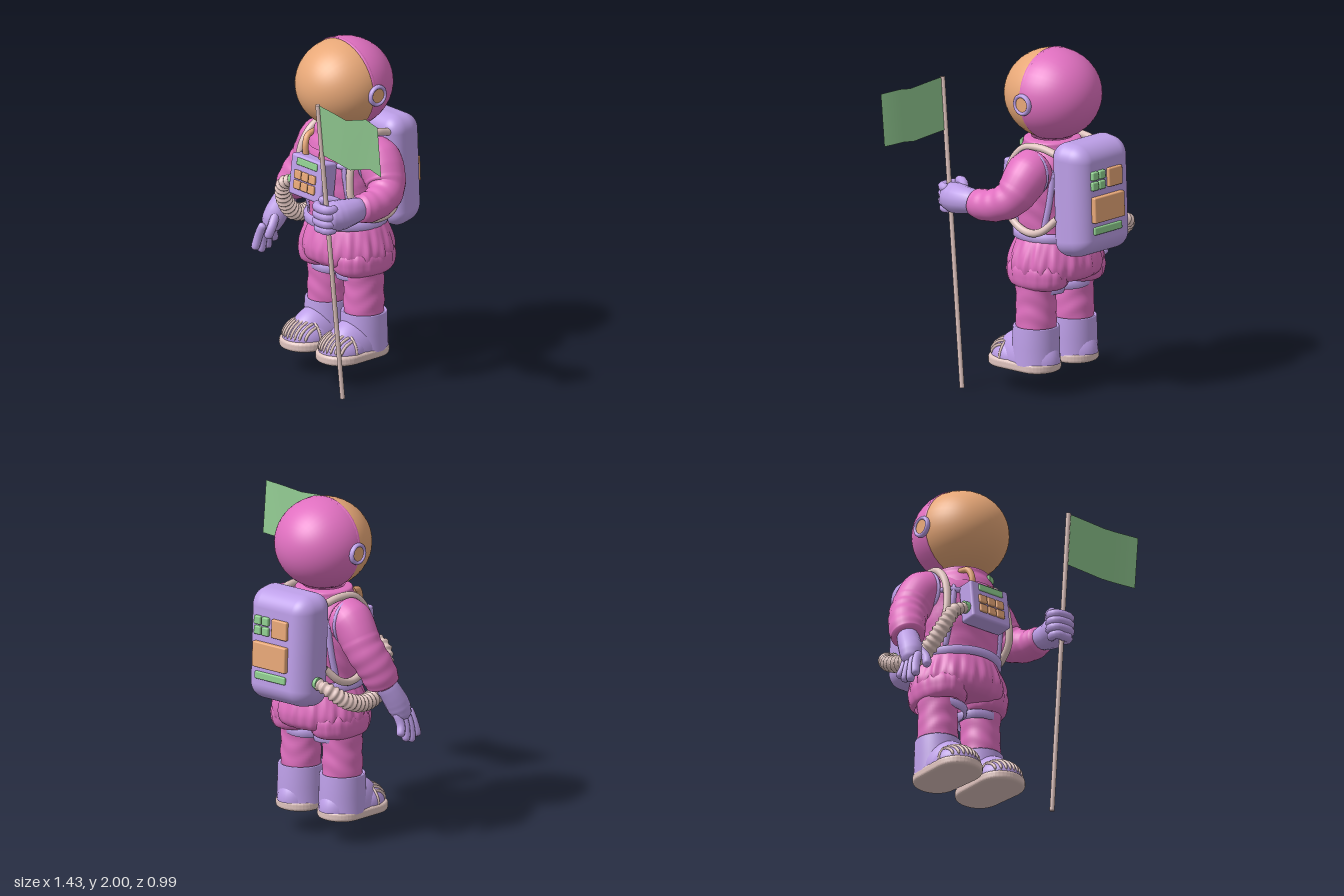
import * as THREE from 'three';
import { mergeVertices } from 'three/addons/utils/BufferGeometryUtils.js';
import { RoundedBoxGeometry } from 'three/addons/geometries/RoundedBoxGeometry.js';

const mat = (color) => new THREE.MeshStandardMaterial({ color, side: THREE.DoubleSide });
const PINK = mat(0xe070c0), PURPLE = mat(0xbd9fe8), ORANGE = mat(0xe8a878);
const CREAM = mat(0xdfc3be), GREEN = mat(0x90d090), FLAG = mat(0x90c890);
const V = (p) => new THREE.Vector3(...p);

function add(parent, name, geo, material, pos = [0, 0, 0], rot = [0, 0, 0]) {
  const m = new THREE.Mesh(geo, material);
  m.name = name;
  m.position.set(...pos);
  m.rotation.set(...rot);
  parent.add(m);
  return m;
}

// Weld seams and recompute smooth normals
function smooth(geo) {
  geo.deleteAttribute('uv');
  geo.deleteAttribute('normal');
  const g = mergeVertices(geo, 1e-5);
  g.computeVertexNormals();
  return g;
}

// Tube along points whose radius is a function of t (0..1)
function sweep(points, radius, seg = 32, sides = 14) {
  const curve = new THREE.CatmullRomCurve3(points.map(V));
  const g = new THREE.TubeGeometry(curve, seg, 1, sides);
  const p = g.attributes.position, n = g.attributes.normal;
  for (let i = 0; i < p.count; i++) {
    const t = Math.floor(i / (sides + 1)) / seg, c = curve.getPointAt(t);
    const r = Math.max(radius(t), 1e-3);
    p.setXYZ(i, c.x + n.getX(i) * r, c.y + n.getY(i) * r, c.z + n.getZ(i) * r);
  }
  return smooth(g);
}
const capsule = (r) => (t) => r * Math.sqrt(Math.max(0, 1 - Math.pow(Math.abs(2 * t - 1), 8)));
const lerpList = (list) => (t) => {
  const f = t * (list.length - 1), i = Math.min(Math.floor(f), list.length - 2);
  return THREE.MathUtils.lerp(list[i], list[i + 1], f - i);
};

// Lathe with depth scale and optional ripple(angle, y) factor
function lathe(profile, depth = 1, ripple = () => 1, sides = 48, curved = true) {
  let pts = profile.map((q) => new THREE.Vector2(...q));
  if (curved) pts = new THREE.SplineCurve(pts).getPoints(profile.length * 5);
  const g = new THREE.LatheGeometry(pts, sides), p = g.attributes.position;
  for (let i = 0; i < p.count; i++) {
    const x = p.getX(i), y = p.getY(i), z = p.getZ(i), k = ripple(Math.atan2(x, z), y);
    p.setXYZ(i, x * k, y, z * k * depth);
  }
  return smooth(g);
}
const dome = (x, y, z) => new THREE.SphereGeometry(1, 40, 16, 0, Math.PI * 2, 0, Math.PI / 2).scale(x, y, z);

function buildHead(body) {
  const head = new THREE.Group();
  head.name = 'head';
  head.position.set(0, 1.735, -0.035);
  head.rotation.x = 0.06;
  body.add(head);
  add(head, 'visor', dome(0.272, 0.287, 0.263).rotateX(Math.PI / 2), ORANGE);
  add(head, 'helmetShell', dome(0.275, 0.289, 0.266).rotateX(-Math.PI / 2), PINK);
  add(head, 'visorRim', new THREE.TorusGeometry(1, 0.022, 8, 64).scale(0.27, 0.262, 0.5), PINK);
  for (const s of [-1, 1]) {
    const tilt = [0, 0, Math.PI / 2], pos = (x) => [s * x, -0.015, -0.015];
    add(head, 'earRing', new THREE.TorusGeometry(0.052, 0.012, 10, 32).scale(1, 1, 1.4), PURPLE, pos(0.275), [0, Math.PI / 2, 0]);
    add(head, 'earBase', new THREE.CylinderGeometry(0.058, 0.058, 0.05, 32), PURPLE, pos(0.252), tilt);
    add(head, 'earDisc', new THREE.CylinderGeometry(0.043, 0.043, 0.03, 32), ORANGE, pos(0.268), tilt);
  }
}

// Torso half-width at a height, shared by the suit and its harness
const TORSO = [[0.225, 0.9], [0.228, 1.0], [0.242, 1.12], [0.25, 1.25], [0.245, 1.34], [0.2, 1.41], [0.14, 1.46]];
function torsoPoint(x, y, front) {
  let i = 0;
  while (i < TORSO.length - 2 && TORSO[i + 1][1] < y) i++;
  const [a, b] = [TORSO[i], TORSO[i + 1]];
  const r = THREE.MathUtils.mapLinear(y, a[1], b[1], a[0], b[0]);
  const z = 0.8 * Math.sqrt(Math.max(0, r * r - x * x)) + 0.006;
  return [x, y, -0.04 + (front ? z : -z)];
}

function buildTorso(body) {
  const folds = (a, y) => 1 + 0.01 * Math.sin(y * 60 + 3 * Math.sin(a * 3)) * (y < 1.3 ? 1 : 0);
  add(body, 'torso', lathe(TORSO, 0.8, folds), PINK, [0, 0, -0.04]);
  add(body, 'collar', lathe([[0.2, 1.37], [0.188, 1.41], [0.17, 1.445], [0.163, 1.475], [0.12, 1.485]], 0.98), PINK, [0, 0, -0.03]);
  add(body, 'collarLight', new RoundedBoxGeometry(0.075, 0.035, 0.02, 2, 0.006), GREEN, [0.095, 1.44, 0.115], [0, 0.55, 0.1]);
  add(body, 'belt', lathe([[0.225, 0.905], [0.246, 0.91], [0.247, 0.95], [0.225, 0.96]], 0.96, undefined, 48, false), PURPLE, [0, 0, -0.05]);

  // Harness straps lying on the torso
  const strap = (from, to, front) => {
    const pts = Array.from({ length: 9 }, (_, i) =>
      torsoPoint(THREE.MathUtils.lerp(from[0], to[0], i / 8), THREE.MathUtils.lerp(from[1], to[1], i / 8), front));
    add(body, 'harnessStrap', sweep(pts, capsule(0.018), 24, 8), PURPLE);
  };
  for (const s of [-1, 1]) {
    for (const front of [true, false]) {
      strap([s * 0.17, 1.34], [s * 0.195, 0.94], front);
      strap([s * 0.13, 1.3], [s * 0.225, 1.3], front);
    }
    add(body, 'shoulderBand', new THREE.TorusGeometry(0.128, 0.011, 8, 40), PURPLE, [s * 0.235, 1.315, -0.078], [0, Math.PI / 2, s * 0.55]);
  }
  strap([-0.19, 1.02], [0.19, 1.02], false);

  // Pleated trousers with gathered thighs
  const pleats = (a, y) => {
    const e = Math.max(0, Math.sin(Math.PI * (y - 0.62) / 0.32));
    return 1 + e * (0.022 * Math.sin(a * 16 + y * 9) + 0.014 * Math.sin(a * 29 - y * 12));
  };
  const hips = [[0.001, 0.68], [0.2, 0.67], [0.27, 0.695], [0.292, 0.75], [0.285, 0.81], [0.255, 0.89], [0.222, 0.95]];
  add(body, 'trousers', lathe(hips, 0.86, pleats, 144), PINK, [0, 0, -0.06]);
  for (const s of [-1, 1])
    add(body, 'trouserThigh', lathe([[0.11, 0.63], [0.132, 0.65], [0.142, 0.69], [0.14, 0.75], [0.1, 0.82]], 1.42, pleats, 80), PINK, [s * 0.149, 0, -0.058]);
}

function buildLeg(body, s) {
  const leg = new THREE.Group();
  leg.name = 'leg';
  leg.position.set(s * 0.158, 0, -0.05);
  body.add(leg);
  const folds = (a, y) => 1 + 0.018 * Math.sin(y * 60 + 2.5 * Math.sin(a * 2 + s));
  add(leg, 'trouserLeg', lathe([[0.11, 0.34], [0.115, 0.45], [0.112, 0.55], [0.118, 0.66]], 1.04, folds), PINK);
  add(leg, 'kneeBand', lathe([[0.11, 0.59], [0.126, 0.595], [0.129, 0.635], [0.11, 0.645]], 1.04, undefined, 40, false), PURPLE, [0, 0, 0], [0, 0, s * 0.08]);
  add(leg, 'bootShaft', lathe([[0.138, 0.18], [0.135, 0.28], [0.132, 0.395], [0.126, 0.402], [0.11, 0.395]], 1.02, undefined, 40, false), PURPLE);
  add(leg, 'bootFoot', dome(0.13, 0.18, 0.215), PURPLE, [0, 0.19, 0.055]);
  add(leg, 'toeCap', dome(0.132, 0.113, 0.155), PURPLE, [0, 0.195, 0.15]);
  // Ribs running over the toe
  for (let i = -4; i <= 4; i++) {
    const x = i * 0.025, k = Math.sqrt(1 - (x / 0.136) ** 2), pts = [];
    for (let j = 0; j <= 6; j++) {
      const a = 0.1 + j * 0.22;
      pts.push([x, 0.195 + Math.sin(a) * 0.113 * k, 0.15 + Math.cos(a) * 0.156 * k]);
    }
    add(leg, 'toeRib', sweep(pts, capsule(0.009), 14, 7), CREAM);
  }
  const arch = Array.from({ length: 11 }, (_, j) => {
    const a = j * Math.PI / 10;
    return [Math.cos(a) * 0.131, 0.195 + Math.sin(a) * 0.116, 0.165];
  });
  add(leg, 'toeBand', sweep(arch, () => 0.008, 30, 8), CREAM);

  // Rounded sole
  const sole = new THREE.Shape();
  sole.moveTo(0.124, -0.17);
  sole.bezierCurveTo(0.124, -0.343, -0.124, -0.343, -0.124, -0.17);
  sole.lineTo(-0.116, 0.02);
  sole.bezierCurveTo(-0.11, 0.16, 0.11, 0.16, 0.116, 0.02);
  sole.closePath();
  const g = new THREE.ExtrudeGeometry(sole, { depth: 0.02, bevelSize: 0.019, bevelThickness: 0.019, bevelSegments: 5, curveSegments: 20 });
  add(leg, 'sole', g.rotateX(-Math.PI / 2), CREAM, [0, 0.158, 0]);
}

function buildArms(body) {
  const sleeve = (pts, radii) => {
    const r = lerpList(radii), fold = (t) => (t > 0.4 && t < 0.96 ? 0.002 * Math.sin(t * 48) : 0);
    add(body, 'sleeve', sweep(pts, (t) => r(t) + fold(t), 60, 28), PINK);
  };
  const finger = (name, pts, r) => add(body, name, sweep(pts, capsule(r), 20, 10), PURPLE);

  // Hanging right arm and open glove
  sleeve([[-0.14, 1.36, -0.07], [-0.25, 1.315, -0.08], [-0.35, 1.17, -0.075], [-0.405, 1.05, -0.03], [-0.427, 0.92, 0.02]],
    [0.05, 0.12, 0.13, 0.122, 0.115, 0.112, 0.109, 0.107, 0.105, 0.1, 0.001]);
  add(body, 'glovePalm', sweep([[-0.425, 0.98, 0.0], [-0.45, 0.9, 0.045], [-0.468, 0.82, 0.085], [-0.495, 0.72, 0.11]], lerpList([0.06, 0.066, 0.068, 0.07, 0.068, 0.055, 0.001])), PURPLE);
  for (let i = 0; i < 4; i++) {
    const z = 0.05 + i * 0.037, tip = [0.66, 0.62, 0.605, 0.63][i];
    finger('gloveFinger', [[-0.475, 0.8, z], [-0.505, 0.72, z + 0.01], [-0.522, tip, z + 0.014 * (i - 1)]], 0.026);
  }
  finger('gloveThumb', [[-0.44, 0.87, 0.09], [-0.415, 0.79, 0.15], [-0.428, 0.72, 0.175]], 0.027);

  // Raised left arm and fist around the pole
  sleeve([[0.14, 1.36, -0.07], [0.25, 1.315, -0.08], [0.36, 1.18, -0.04], [0.402, 1.128, 0.08], [0.402, 1.13, 0.245]],
    [0.05, 0.12, 0.133, 0.128, 0.118, 0.108, 0.1, 0.094, 0.09, 0.085, 0.001]);
  add(body, 'glovePalm', sweep([[0.4, 1.13, 0.18], [0.405, 1.125, 0.28], [0.39, 1.12, 0.36], [0.37, 1.12, 0.46]], lerpList([0.06, 0.074, 0.08, 0.088, 0.09, 0.08, 0.001])), PURPLE);
  for (let i = 0; i < 4; i++) {
    const y = 1.05 + i * 0.042, d = i === 0 ? 0.012 : 0;
    finger('gloveFinger', [[0.43 - d, y, 0.38], [0.415 - d, y, 0.44], [0.365, y, 0.452 - d], [0.315 + d, y, 0.44], [0.3 + d, y, 0.4], [0.34, y, 0.37]], 0.027);
  }
  finger('gloveThumb', [[0.375, 1.175, 0.31], [0.33, 1.2, 0.36], [0.31, 1.2, 0.42]], 0.028);
}

function buildGear(body) {
  // Backpack, narrower towards the rear and shorter at its rear face
  const geo = new RoundedBoxGeometry(0.49, 0.69, 0.25, 8, 0.1), p = geo.attributes.position;
  for (let i = 0; i < p.count; i++) {
    const k = 1 - 0.14 * (0.125 - p.getZ(i)) / 0.25;
    p.setXYZ(i, p.getX(i) * k, p.getY(i) * (0.4 + 0.6 * k), p.getZ(i));
  }
  add(body, 'backpack', smooth(geo), PURPLE, [0, 1.185, -0.34], [0.04, 0, 0]);
  const panel = (name, m, x, y, w, h, d = 0.03) => add(body, name, new RoundedBoxGeometry(w, h, d, 2, 0.008), m, [x, y, -0.465], [0.04, 0, 0]);
  for (const x of [0.058, 0.116]) for (const y of [1.285, 1.345]) panel('packKey', GREEN, x, y, 0.05, 0.05);
  panel('packSquare', ORANGE, -0.05, 1.315, 0.115, 0.11);
  panel('packScreen', ORANGE, 0.015, 1.145, 0.25, 0.15, 0.06);
  panel('packBar', GREEN, 0.015, 1.02, 0.23, 0.045, 0.04);

  // Chest control box
  const box = new THREE.Group();
  box.name = 'chestBox';
  box.position.set(-0.01, 1.205, 0.19);
  box.rotation.x = -0.12;
  body.add(box);
  add(box, 'chestCase', new RoundedBoxGeometry(0.28, 0.24, 0.11, 4, 0.015), PURPLE);
  add(box, 'chestScreen', new RoundedBoxGeometry(0.175, 0.042, 0.02, 2, 0.006), GREEN, [0.005, 0.085, 0.053]);
  for (let i = -1; i <= 1; i++) for (const y of [0.008, -0.052])
    add(box, 'chestButton', new RoundedBoxGeometry(0.055, 0.05, 0.024, 2, 0.006), ORANGE, [i * 0.062, y, 0.056]);
  for (const x of [0.04, 0.065]) add(box, 'chestPin', new THREE.CylinderGeometry(0.006, 0.006, 0.05, 8), ORANGE, [x, 0.135, 0]);
  add(body, 'airTube', sweep([[-0.09, 1.3, 0.17], [-0.092, 1.38, 0.175], [-0.1, 1.43, 0.15], [-0.11, 1.44, 0.09]], () => 0.018), ORANGE);

  // Loop hoses around both shoulders
  for (const s of [-1, 1]) {
    const loop = [[0.17, 1.43, -0.24], [0.19, 1.46, -0.12], [0.205, 1.445, 0.0], [0.215, 1.36, 0.08], [0.225, 1.22, 0.115], [0.24, 1.09, 0.105], [0.245, 1.0, 0.03], [0.25, 0.965, -0.08], [0.25, 0.99, -0.18], [0.21, 1.07, -0.26]];
    add(body, 'shoulderHose', sweep(loop.map(([x, y, z]) => [s * x, y, z]), () => 0.022, 70, 12), CREAM);
  }

  // Ribbed hose from chest box to backpack
  const path = [[-0.17, 1.155, 0.2], [-0.25, 1.11, 0.2], [-0.305, 0.99, 0.15], [-0.335, 0.885, 0.05], [-0.355, 0.86, -0.1], [-0.35, 0.91, -0.25], [-0.305, 0.975, -0.33], [-0.22, 1.01, -0.35]];
  const taper = lerpList([0.028, 0.042, 0.046, 0.048, 0.048, 0.046, 0.042, 0.03]);
  add(body, 'ribbedHose', sweep(path, (t) => taper(t) + 0.005 * Math.sin(t * 2 * Math.PI * 27), 216, 16), CREAM);
  for (const pos of [[-0.155, 1.16, 0.2], [-0.22, 1.01, -0.35]])
    add(body, 'hoseFitting', new THREE.CylinderGeometry(0.034, 0.034, 0.05, 20), GREEN, pos, [0, 0, Math.PI / 2]);
}

function buildFlag(root) {
  const low = V([0.22, 0.005, 0.31]), top = V([0.2, 1.81, 0.48]);
  const pole = add(root, 'flagPole', new THREE.CylinderGeometry(0.014, 0.014, low.distanceTo(top), 14), CREAM, low.clone().lerp(top, 0.5).toArray());
  pole.quaternion.setFromUnitVectors(new THREE.Vector3(0, 1, 0), top.clone().sub(low).normalize());
  // Rippled cloth: x, height offset, depth offset of each column
  const cols = [[0.2, 0, 0], [0.33, -0.01, 0.005], [0.46, -0.022, 0.012], [0.585, 0.007, -0.03], [0.72, 0, 0]];
  const cloth = new THREE.PlaneGeometry(1, 1, 4, 1), p = cloth.attributes.position;
  for (let i = 0; i < p.count; i++) {
    const [x, dy, dz] = cols[i % 5], up = i < 5;
    p.setXYZ(i, x, (up ? 1.81 : 1.503) + dy, (up ? 0.478 : 0.45) + dz);
  }
  cloth.computeVertexNormals();
  add(root, 'flagCloth', cloth, FLAG);
}

export function createModel() {
  const root = new THREE.Group();
  root.name = 'astronaut';
  const body = new THREE.Group();
  body.name = 'body';
  body.position.x = -0.17;
  root.add(body);
  buildHead(body);
  buildTorso(body);
  for (const s of [-1, 1]) buildLeg(body, s);
  buildArms(body);
  buildGear(body);
  buildFlag(root);
  return root;
}
